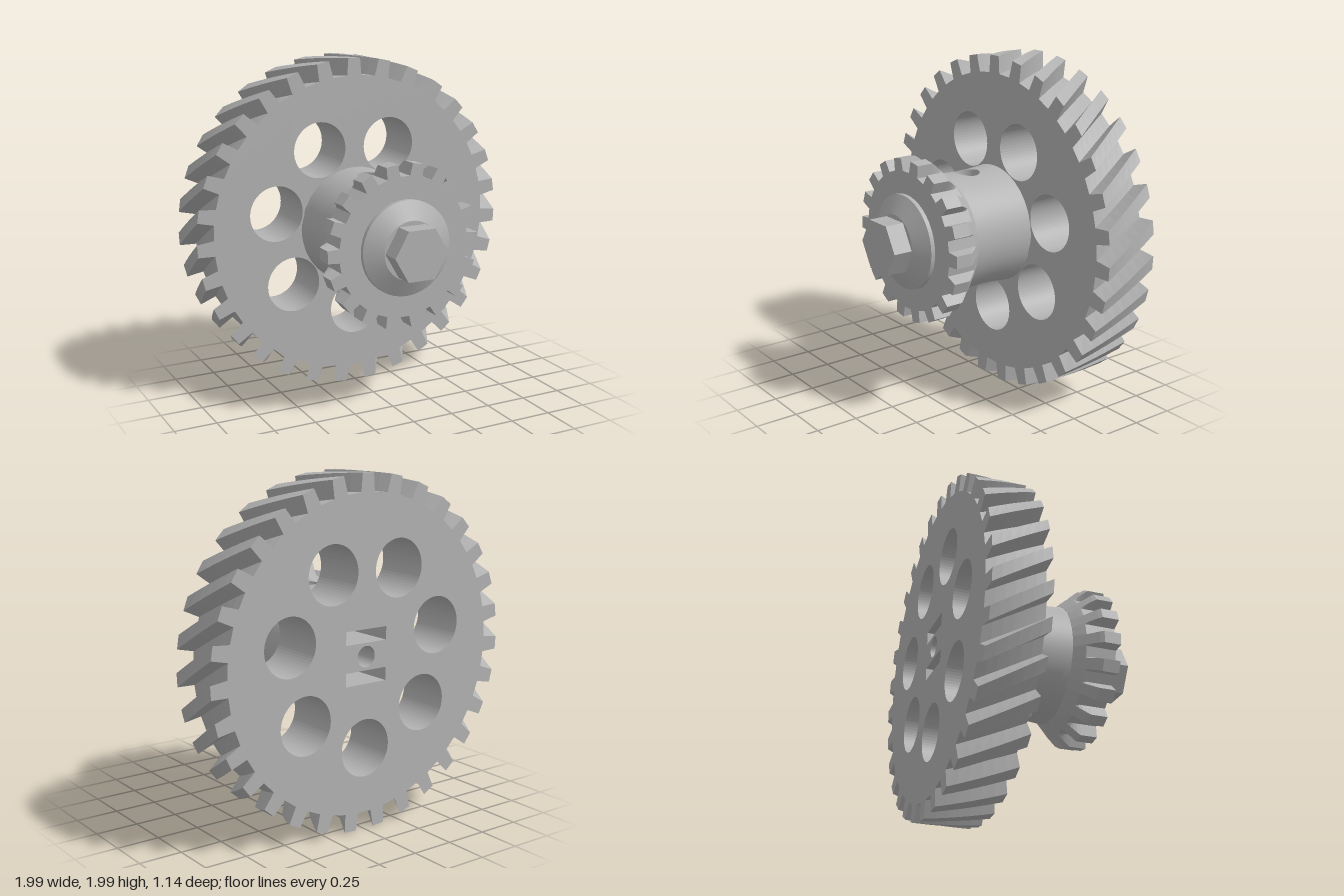
import * as THREE from 'three';

const TAU = Math.PI * 2;
const steel = new THREE.MeshStandardMaterial({ color: 0xb2b2b2, side: THREE.DoubleSide });
steel.name = 'steel grey';

function add(parent, name, geometry) {
  const mesh = new THREE.Mesh(geometry, steel);
  mesh.name = name;
  parent.add(mesh);
  return mesh;
}

// Toothed outline with a gap centred at the bottom; gap half-angles at root and tip
function gearShape(teeth, root, tip, gapRoot, gapTip) {
  const points = [];
  for (let i = 0; i < teeth; i++) {
    const a = -Math.PI / 2 + (i * TAU) / teeth;
    for (const [r, d] of [[tip, -gapTip], [root, -gapRoot], [root, gapRoot], [tip, gapTip]])
      points.push(new THREE.Vector2(r * Math.cos(a + d), r * Math.sin(a + d)));
  }
  return new THREE.Shape(points);
}

function circlePath(x, y, r) {
  return new THREE.Path().absarc(x, y, r, 0, TAU, true);
}

function rectPath(x, y, hw, hh) {
  return new THREE.Path([[-1, -1], [-1, 1], [1, 1], [1, -1]]
    .map(([u, v]) => new THREE.Vector2(x + u * hw, y + v * hh)));
}

function extrude(shape, z0, z1, steps, curveSegments) {
  const g = new THREE.ExtrudeGeometry(shape, { depth: z1 - z0, steps, curveSegments, bevelEnabled: false });
  return g.translate(0, 0, z0);
}

// Moves every vertex by rule(vector), then refreshes the normals
function deform(geometry, rule) {
  const pos = geometry.attributes.position, v = new THREE.Vector3();
  for (let i = 0; i < pos.count; i++) {
    rule(v.fromBufferAttribute(pos, i));
    pos.setXYZ(i, v.x, v.y, v.z);
  }
  geometry.computeVertexNormals();
  return geometry;
}

const BACK = -0.57, FACE = -0.24;

// Hub: slightly waisted barrel, drilled across
const HUB_Z0 = -0.25, HUB_Z1 = 0.17, BORE_Z = -0.05, BORE_R = 0.07;
const hubRadius = (z) => 0.338 + 0.35 * (z - BORE_Z) ** 2;

// Half of the barrel wall, spread from the round hole out to the rectangular border
function hubHalf() {
  const n = 64, rings = 10, positions = [], normals = [], index = [];
  for (let i = 0; i <= n; i++) {
    const a = (i / n) * TAU, c = Math.cos(a), s = Math.sin(a), m = Math.max(Math.abs(c), Math.abs(s));
    const holeTh = Math.asin((BORE_R * c) / hubRadius(BORE_Z)), holeZ = BORE_Z + BORE_R * s;
    const edgeTh = (c / m) * Math.PI / 2;
    const edgeZ = (HUB_Z0 + HUB_Z1) / 2 + (s / m) * (HUB_Z1 - HUB_Z0) / 2;
    for (let j = 0; j <= rings; j++) {
      const t = j / rings;
      const th = THREE.MathUtils.lerp(holeTh, edgeTh, t), z = THREE.MathUtils.lerp(holeZ, edgeZ, t);
      const r = hubRadius(z);
      positions.push(r * Math.sin(th), r * Math.cos(th), z);
      normals.push(Math.sin(th), Math.cos(th), 0);
      if (i < n && j < rings) {
        const p = i * (rings + 1) + j, q = p + rings + 1;
        index.push(p, q, p + 1, q, q + 1, p + 1);
      }
    }
  }
  const g = new THREE.BufferGeometry();
  g.setAttribute('position', new THREE.Float32BufferAttribute(positions, 3));
  g.setAttribute('normal', new THREE.Float32BufferAttribute(normals, 3));
  g.setIndex(index);
  return g;
}

export function createModel() {
  const model = new THREE.Group();
  model.name = 'compoundGear';
  const axle = new THREE.Group();
  axle.name = 'gearAssembly';
  axle.position.y = 0.995;
  model.add(axle);

  // Helical rim: one tooth pitch of twist from front to back
  const teeth = 31, twist = TAU / teeth, zAxis = new THREE.Vector3(0, 0, 1);
  const rim = gearShape(teeth, 0.895, 0.996, 0.05, 0.063);
  rim.holes.push(circlePath(0, 0, 0.8));
  add(axle, 'helicalRim', deform(extrude(rim, BACK, FACE, 6, teeth), (v) =>
    v.applyAxisAngle(zAxis, (twist * (FACE - v.z)) / (FACE - BACK))));

  // Web: seven round openings, centre bore and two slots
  const web = new THREE.Shape().absarc(0, 0, 0.8, 0, TAU, false);
  for (let i = 0; i < 7; i++) {
    const a = -Math.PI / 2 + (i * TAU) / 7;
    web.holes.push(circlePath(0.52 * Math.cos(a), 0.52 * Math.sin(a), 0.165));
  }
  web.holes.push(circlePath(0, 0, 0.06));
  for (const y of [-0.115, 0.115]) web.holes.push(rectPath(0, y, 0.14, 0.038));
  add(axle, 'gearWeb', extrude(web, BACK, FACE, 1, teeth));

  // Barrel halves, the cross bore and the floor behind the slots
  const half = hubHalf();
  add(axle, 'hubUpper', half);
  add(axle, 'hubLower', half).rotation.z = Math.PI;
  const bore = new THREE.CylinderGeometry(BORE_R, BORE_R, 0.66, 32, 1, true);
  add(axle, 'crossBore', deform(bore, (v) => {
    v.y = Math.sign(v.y) * Math.sqrt(hubRadius(BORE_Z + v.z) ** 2 - v.x ** 2);
  })).position.z = BORE_Z;
  const floor = add(axle, 'hubFloor', new THREE.CircleGeometry(0.34, 48));
  floor.rotation.y = Math.PI;
  floor.position.z = HUB_Z0;

  // Pinion: straight teeth, chamfered to a cone at the back
  const pinion = extrude(gearShape(18, 0.405, 0.475, 0.075, 0.1), 0.14, 0.38, 12, 12);
  add(axle, 'pinion', deform(pinion, (v) => {
    const r = Math.hypot(v.x, v.y), limit = 0.352 + Math.max(0, v.z - 0.14) * 0.9;
    if (r > limit) {
      v.x *= limit / r;
      v.y *= limit / r;
    }
  }));

  // Tapered collar and hexagonal end
  const collar = new THREE.CylinderGeometry(0.17, 0.275, 0.055, 40).rotateX(Math.PI / 2);
  add(axle, 'collarTaper', collar).position.z = 0.4325;
  const collarBase = new THREE.CylinderGeometry(0.275, 0.275, 0.035, 40).rotateX(Math.PI / 2);
  add(axle, 'collarBase', collarBase).position.z = 0.3875;
  const hex = new THREE.CylinderGeometry(0.165, 0.165, 0.13, 6).toNonIndexed();
  hex.computeVertexNormals();
  hex.rotateX(Math.PI / 2).rotateZ(Math.PI / 2);
  add(axle, 'hexEnd', hex).position.z = 0.508;

  return model;
}
